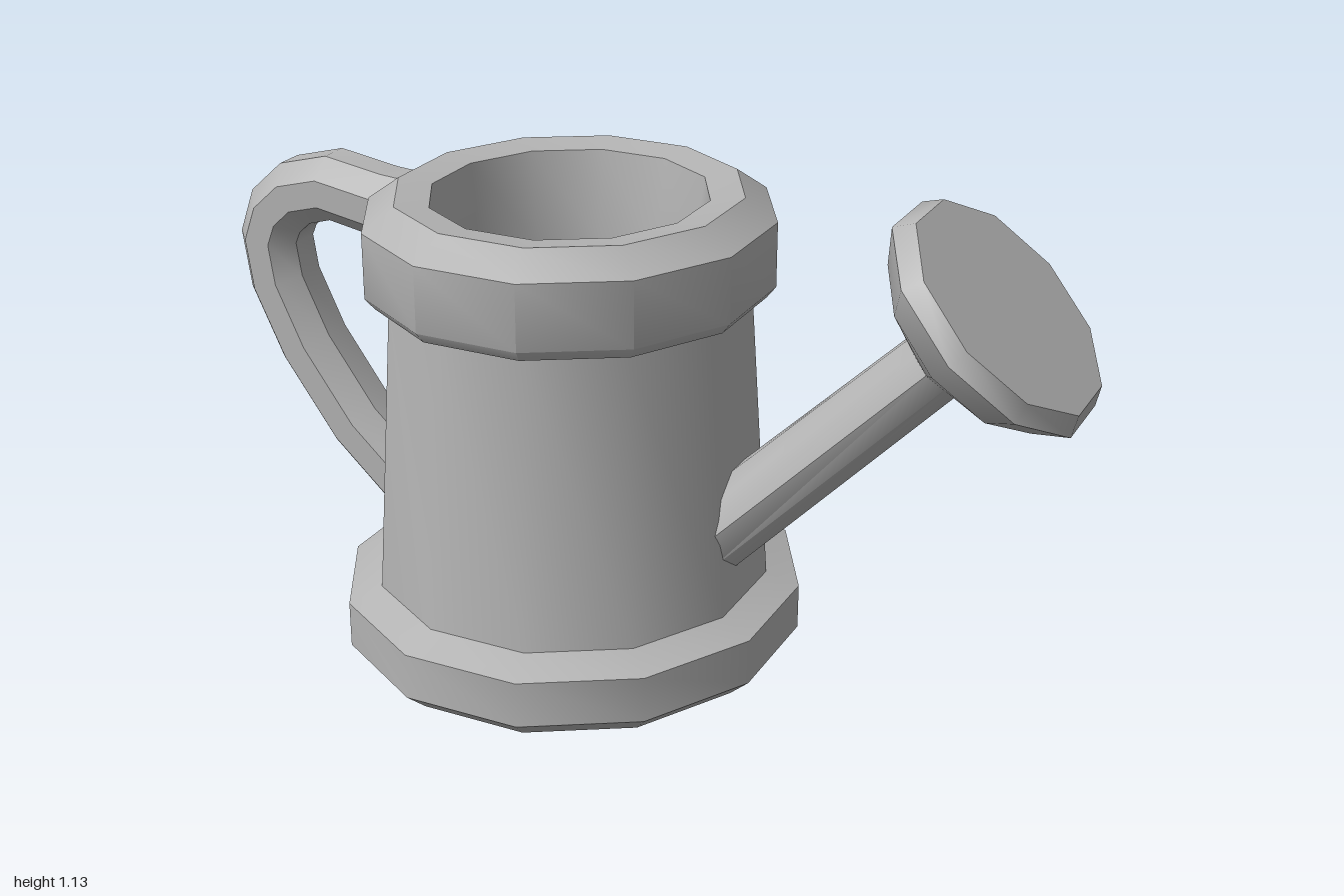
import * as THREE from 'three';
import { toCreasedNormals } from 'three/addons/utils/BufferGeometryUtils.js';

const CREASE = THREE.MathUtils.degToRad(40);
const BODY_X = -0.163;

// Twelve-sided turned part; the profile gives [distance to flat side, height]
function turned(profile) {
  const k = 1 / Math.cos(Math.PI / 12);
  const points = profile.map(([r, y]) => new THREE.Vector2(r * k, y));
  const geometry = new THREE.LatheGeometry(points, 12, Math.PI / 12);
  geometry.scale(0.96, 1, 1);
  return toCreasedNormals(geometry, CREASE);
}

// Closed tube along a path in the xy plane; each ring is [x, y, in-plane radius, z radius]
function swept(rings, sides) {
  const positions = [];
  const index = [];
  const last = rings.length - 1;
  rings.forEach(([x, y, rn, rz], i) => {
    const a = rings[Math.max(i - 1, 0)];
    const b = rings[Math.min(i + 1, last)];
    const t = new THREE.Vector2(b[0] - a[0], b[1] - a[1]).normalize();
    for (let j = 0; j < sides; j++) {
      const angle = ((j + 0.5) / sides) * Math.PI * 2;
      const n = Math.cos(angle) * rn;
      positions.push(x - t.y * n, y + t.x * n, Math.sin(angle) * rz);
    }
  });
  for (let j = 0; j < sides; j++) {
    const k = (j + 1) % sides;
    for (let i = 0; i < last; i++) {
      const p = i * sides;
      const q = p + sides;
      index.push(p + j, p + k, q + j, p + k, q + k, q + j);
    }
    // End caps
    if (j > 0 && j < sides - 1) {
      const e = last * sides;
      index.push(0, k, j, e, e + j, e + k);
    }
  }
  const geometry = new THREE.BufferGeometry();
  geometry.setAttribute('position', new THREE.Float32BufferAttribute(positions, 3));
  geometry.setIndex(index);
  return toCreasedNormals(geometry, CREASE);
}

export function createModel() {
  const group = new THREE.Group();
  const metal = new THREE.MeshStandardMaterial({ color: 0xb4b4b4 });
  metal.name = 'grey metal';

  const add = (name, geometry, x = 0, z = 0) => {
    const mesh = new THREE.Mesh(geometry, metal);
    mesh.name = name;
    mesh.position.set(x, 0, z);
    group.add(mesh);
  };

  // Foot, tapering wall, and hollow collar with the inside of the can
  add('base', turned([[0, 0], [0.47, 0], [0.52, 0.045], [0.52, 0.15], [0.445, 0.18]]), BODY_X);
  add('body', turned([[0.445, 0.18], [0.4, 0.84]]), BODY_X);
  add('collarAndInside', turned([
    [0.4, 0.84], [0.43, 0.84], [0.45, 0.865], [0.45, 1.01], [0.38, 1.06],
    [0.305, 1.05], [0.28, 0.84], [0.28, 0.18], [0, 0.18],
  ]), BODY_X);

  // Bent handle
  const handlePath = [
    [-0.53, 0.957], [-0.62, 0.963], [-0.755, 0.985], [-0.845, 0.96], [-0.9, 0.91],
    [-0.925, 0.845], [-0.91, 0.74], [-0.84, 0.59], [-0.715, 0.415], [-0.53, 0.245],
  ];
  add('handle', swept(handlePath.map(([x, y]) => [x, y, 0.081, 0.09]), 8), 0, 0.008);

  // Spout, flatter in height than in width
  add('spout', swept([[0.19, 0.32, 0.09, 0.13], [0.7, 0.835, 0.078, 0.095]], 10));

  // Sprinkler head: rings at a distance along the spout axis
  const head = [[0, 0.08, 0.098], [0.081, 0.229, 0.235], [0.149, 0.283, 0.283], [0.191, 0.257, 0.268]];
  add('sprinklerHead', swept(
    head.map(([d, rn, rz]) => [0.685 + d * 0.695, 0.82 + d * 0.72, rn, rz]), 10));

  return group;
}
